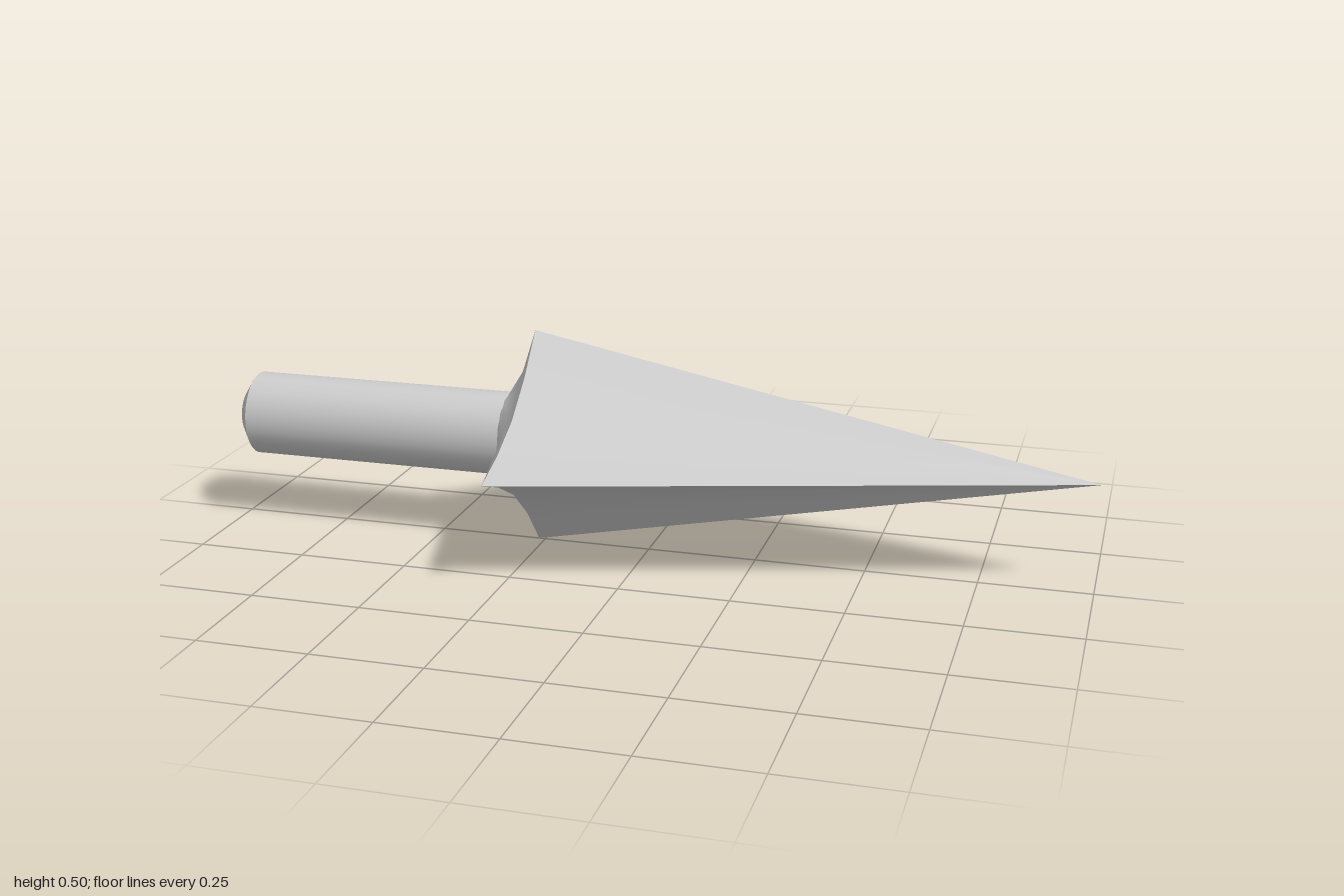
import * as THREE from 'three';

const MID_Y = 0.25;          // height of the long axis
const RY = 0.097, RZ = 0.091; // shaft half height and half depth

// One quarter of the four-pointed star as [z, y], side point to top point
const QUARTER = [[0.368, 0], [0.268, 0.035], [0.17, 0.085], [0.08, 0.16], [0, 0.25]];

// Quarter outline blended from the shaft circle (f = 0) to the star (f = 1)
function quarterRing(x, f, sy, sz, scale) {
  return QUARTER.map(([z, y], i) => {
    const a = (i / 4) * Math.PI / 2;
    const cz = Math.cos(a) * RZ, cy = Math.sin(a) * RY;
    return [x, sy * scale * (cy + (y - cy) * f), sz * scale * (cz + (z - cz) * f)];
  });
}

// Skin between rings that run from the back towards the tip
function loft(rings, flip) {
  const n = QUARTER.length, index = [];
  for (let r = 0; r < rings.length - 1; r++) {
    for (let i = 0; i < n - 1; i++) {
      const a = r * n + i, b = a + 1, c = a + n, d = c + 1;
      const isTip = rings[r + 1].every((p) => Math.hypot(p[1], p[2]) < 1e-6);
      const tris = isTip ? [[a, c, b]] : [[a, c, b], [c, d, b]];
      for (const [p, q, s] of tris) index.push(...(flip ? [p, s, q] : [p, q, s]));
    }
  }
  const g = new THREE.BufferGeometry();
  g.setAttribute('position', new THREE.Float32BufferAttribute(rings.flat(2), 3));
  g.setIndex(index);
  g.computeVertexNormals();
  return g;
}

export function createModel() {
  const model = new THREE.Group();
  const material = new THREE.MeshStandardMaterial({ color: 0xcccccc });
  const add = (name, geometry) => {
    const mesh = new THREE.Mesh(geometry, material);
    mesh.name = name;
    mesh.position.y = MID_Y;
    model.add(mesh);
  };

  // Turned parts lie along x; profile is [radius, distance behind the centre]
  const turned = (profile) => new THREE.LatheGeometry(
    profile.map(([r, d]) => new THREE.Vector2(r, d)), 32)
    .rotateZ(Math.PI / 2).scale(1, RY, RZ);
  add('shaft', turned([[1, 0.325], [1, 0.955]]));
  add('shaftEndCap', turned([[1, 0.955], [0.6, 0.982], [0, 1]]));

  // Four quarters, kept separate so the ridges stay sharp
  for (const sy of [1, -1]) {
    for (const sz of [1, -1]) {
      const flip = sy * sz < 0;
      const ring = (x, f, scale = 1) => quarterRing(x, f, sy, sz, scale);
      add('headNeck', loft([ring(-0.33, 0), ring(-0.297, 0.35), ring(-0.265, 1)], flip));
      add('headBlade', loft([ring(-0.265, 1), ring(1, 1, 0)], flip));
    }
  }
  return model;
}
